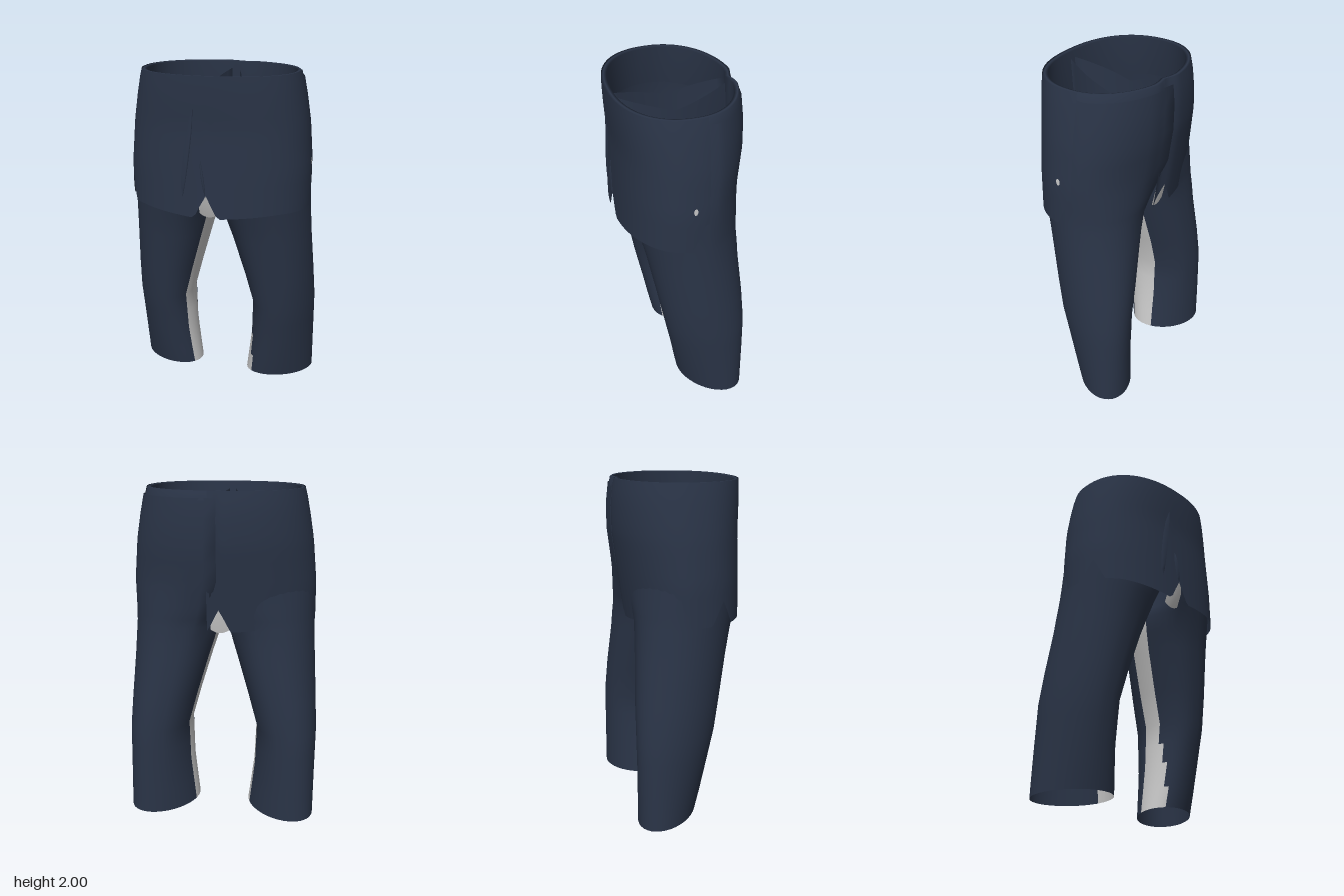
import * as THREE from 'three';

const navy = new THREE.MeshStandardMaterial({ color: 0x2a3447, side: THREE.DoubleSide });
navy.name = 'navy cloth';
const grey = new THREE.MeshStandardMaterial({ color: 0xcacaca, side: THREE.DoubleSide });
grey.name = 'pale grey lining';

const SEG = 36;
const spow = (v, p) => Math.sign(v) * Math.abs(v) ** p;
const { clamp, lerp } = THREE.MathUtils;

// Linear interpolation in a table whose first column is height
function sample(table, y) {
  let i = 1;
  while (i < table.length - 1 && table[i][0] < y) i++;
  const a = table[i - 1], b = table[i];
  const t = clamp((y - a[0]) / (b[0] - a[0]), 0, 1);
  return a.map((v, k) => lerp(v, b[k], t));
}

// Skin rows of points; isGrey(row, column) chooses the second material
function loft(name, rows, closed, isGrey = () => false) {
  const n = rows[0].length, cols = closed ? n : n - 1;
  const index = [[], []];
  for (let r = 0; r < rows.length - 1; r++) {
    for (let c = 0; c < cols; c++) {
      const d = (c + 1) % n;
      const a = r * n + c, b = r * n + d, e = a + n, f = b + n;
      index[isGrey(r, c) ? 1 : 0].push(a, e, b, b, e, f);
    }
  }
  const geo = new THREE.BufferGeometry().setFromPoints(rows.flat());
  geo.setIndex([...index[0], ...index[1]]);
  geo.addGroup(0, index[0].length, 0);
  geo.addGroup(index[0].length, index[1].length, 1);
  geo.computeVertexNormals();
  const mesh = new THREE.Mesh(geo, [navy, grey]);
  mesh.name = name;
  return mesh;
}

// Hip sections: y, half width, back depth, front depth
const HIP = [
  [1.18, 0.548, 0.305, 0.362],
  [1.45, 0.546, 0.34, 0.357],
  [1.7, 0.523, 0.372, 0.352],
  [1.85, 0.498, 0.372, 0.362],
  [1.95, 0.478, 0.362, 0.366],
  [2.0, 0.465, 0.352, 0.366],
];
// Point on the hips: squarer in front, with a shallow groove down the back
function hipPoint(t, y, out = 0) {
  const [, w, zb, zf] = sample(HIP, y);
  const s = Math.sin(t), p = s > 0 ? 2 / 2.3 : 0.95;
  const x = spow(Math.cos(t), p) * (w + out);
  const groove = s < 0 ? 0.025 * Math.exp(-(((x - 0.05) / 0.05) ** 2)) : 0;
  return new THREE.Vector3(x, y, spow(s, p) * ((s > 0 ? zf : zb) + out) + groove);
}

// Leg sections: y, inner x, outer x, back z, front z, x of the widest point
const LEG = [
  [0.015, 0.16, 0.575, -0.335, 0.05, 0.37],
  [0.3, 0.195, 0.577, -0.335, 0.1, 0.39],
  [0.55, 0.205, 0.58, -0.335, 0.15, 0.39],
  [0.75, 0.15, 0.57, -0.325, 0.185, 0.36],
  [1.0, 0.075, 0.555, -0.305, 0.23, 0.31],
  [1.2, 0.01, 0.545, -0.295, 0.275, 0.27],
  [1.33, 0.005, 0.541, -0.315, 0.3, 0.25],
];
const LEG_HEIGHTS = [0.015, 0.15, 0.3, 0.42, 0.55, 0.75, 1, 1.1, 1.2, 1.26, 1.33, 1.42, 1.5, 1.6, 1.7, 1.85, 1.96];

// Slanted oval section of the lower leg
function ovalPoint(t, y) {
  const [, xi, xo, zb, zf, cx] = sample(LEG, y);
  const slant = 0.35 - 0.3 * clamp(y / 0.9, 0, 1);
  const c = Math.cos(t), s = Math.sin(t - slant);
  const x = c > 0 ? cx + c * (xo - cx) : cx - (cx - xi) * Math.abs(c) ** lerp(1, 0.8, clamp(y / 0.5, 0, 1));
  const hem = y < 0.1 ? 0.015 * s : 0;
  return new THREE.Vector3(x, y + hem, (zf + zb) / 2 + (s * (zf - zb)) / 2);
}

// Half of the hip outline, closed by a hollowed wall along the middle
function halfHipPoint(t, y, side) {
  const turn = t > Math.PI ? t - 2 * Math.PI : t;
  const u = Math.min(1, (Math.PI - Math.abs(turn)) / (Math.PI / 3));
  const a = clamp(turn * 0.75, -Math.PI / 2, Math.PI / 2);
  const p = hipPoint(side > 0 ? a : Math.PI - a, y, side > 0 && a < -0.15 ? 0 : -0.015);
  const low = y > 1.9 ? 0.1 * (1 - u) : 0;
  return new THREE.Vector3(side * p.x + 0.01 + 0.09 * (1 - u * u), y - low, p.z * u);
}

// Leg tube from ankle to waist, with a pale strip along the inner thigh
function leg(name, side, frontLining) {
  const rows = LEG_HEIGHTS.map((y) => Array.from({ length: SEG }, (_, i) => {
    const t = (i / SEG) * Math.PI * 2;
    const p = ovalPoint(t, y).lerp(halfHipPoint(t, y, side), clamp((y - 1.18) / 0.32, 0, 1));
    p.x *= side;
    return p;
  }));
  const lined = (r, c) => LEG_HEIGHTS[r] < 1.15 && c >= SEG / 2 - frontLining(r) && c < SEG / 2 + 2;
  return loft(name, rows, true, lined);
}

// Hip panel wrapping the front, one side and half the back, notched at the crotch
function hipPanel() {
  const start = -0.14, end = Math.PI * 1.5 + 0.12, cols = 128, steps = 14;
  const rows = [];
  for (let r = 0; r <= steps; r++) {
    const row = [];
    for (let c = 0; c <= cols; c++) {
      const t = start + ((end - start) * c) / cols;
      const x = hipPoint(t, 1.2).x;
      let hem = 1.185 + 0.035 * Math.min(1, Math.abs(x) / 0.4);
      if (Math.abs(x) < 0.07) hem += 0.145 * (1 - Math.abs(x) / 0.07);
      if (t < 0.08) hem += 0.17 * Math.min(1, (0.08 - t) / 0.15);
      hem += 0.14 * Math.max(0, 1 - Math.abs(t - 2.78) / 0.2);
      row.push(hipPoint(t, lerp(hem, 2, r / steps)));
    }
    rows.push(row);
  }
  return loft('hipPanel', rows, false);
}

// Waistband with a rolled-in inner face
function waistband() {
  const profile = [[1.945, -0.004], [1.995, -0.004], [2, -0.012], [1.995, -0.03], [1.75, -0.034]];
  const rows = profile.map(([y, out]) => Array.from({ length: 64 },
    (_, i) => hipPoint((i / 64) * Math.PI * 2, y, out)));
  return loft('waistband', rows, true);
}

// Narrow raised fold on the front, tapering at both ends
function fold(name, from, to, width) {
  const rows = [];
  for (let i = 0; i <= 8; i++) {
    const k = i / 8, x = lerp(from[0], to[0], k), y = lerp(from[1], to[1], k);
    const swell = Math.sin(Math.PI * k) ** 0.6;
    const z = sample(HIP, y)[3] * (1 - Math.abs(x / 0.53) ** 2.3) ** (1 / 2.3);
    rows.push([[-width, -0.004], [0.2 * width, 0.014], [width * 0.4, -0.004]].map(([dx, dz]) =>
      new THREE.Vector3(x + dx * swell, y, z + dz * swell)));
  }
  return loft(name, rows, false);
}

// Pale flap behind a crotch notch, sloping inward as it goes down
function crotchFlap(name, zTop, zLow) {
  const rows = [[1.35, 0.03, 0], [1.26, 0.055, 0.4], [1.175, 0.055, 1]].map(([y, w, k]) =>
    [-1, -0.5, 0, 0.5, 1].map((u) => new THREE.Vector3(u * w, y + 0.02 * u * u, lerp(zTop, zLow, k))));
  return loft(name, rows, false, () => true);
}

export function createModel() {
  const model = new THREE.Group();
  model.name = 'trousers';
  model.add(leg('leftLeg', 1, (r) => Math.max(1, 4 - r)), leg('rightLeg', -1, () => 3));
  model.add(hipPanel(), waistband());
  model.add(fold('flyFold', [-0.07, 1.82], [-0.14, 1.3], 0.03));
  model.add(fold('crotchFold', [-0.03, 1.53], [0, 1.32], 0.015));
  model.add(crotchFlap('frontCrotchFlap', 0.35, 0.29), crotchFlap('backCrotchFlap', -0.295, -0.265));

  // Small worn patch on the side of the hip
  const patch = new THREE.Mesh(new THREE.CircleGeometry(1, 12), grey);
  patch.name = 'wornPatch';
  patch.scale.set(0.012, 0.022, 1);
  patch.rotation.y = Math.PI / 2;
  patch.position.set(0.548, 1.49, 0.03);
  model.add(patch);
  return model;
}
